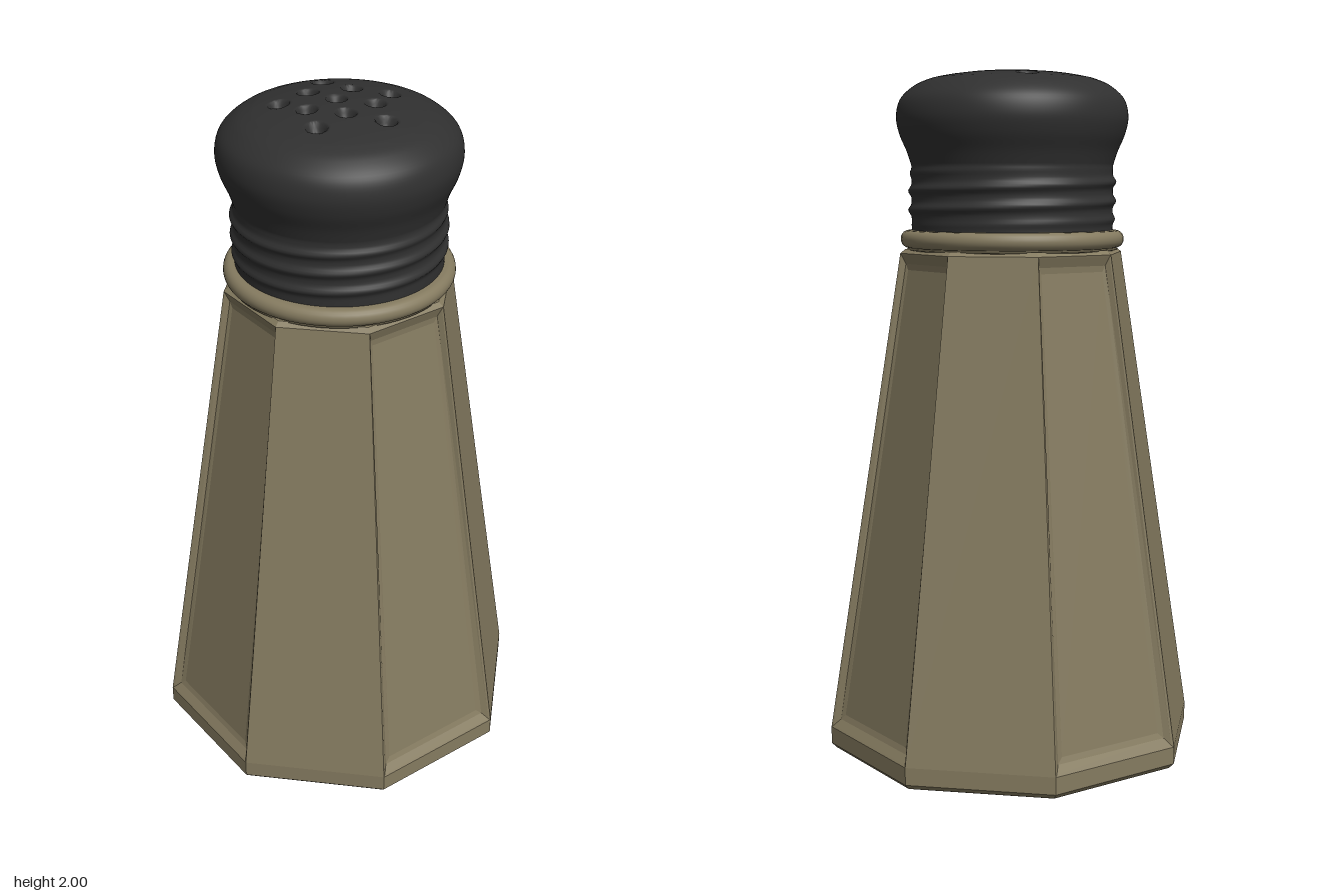
import * as THREE from 'three';

const BODY = new THREE.MeshStandardMaterial({ color: 0x857b60 });
const FLAT = new THREE.MeshStandardMaterial({ color: 0x857b60, flatShading: true });
const CAP = new THREE.MeshStandardMaterial({ color: 0x303030 });

const pts = (list) => list.map(([r, y]) => new THREE.Vector2(r, y));

function add(group, name, geometry, material) {
  const mesh = new THREE.Mesh(geometry, material);
  mesh.name = name;
  group.add(mesh);
}

// Apply a rule to every vertex, then refresh normals, welding the lathe seam
function reshape(geo, segments, rule) {
  const p = geo.attributes.position, v = new THREE.Vector3();
  for (let i = 0; i < p.count; i++) {
    rule(v.fromBufferAttribute(p, i));
    p.setXYZ(i, v.x, v.y, v.z);
  }
  geo.computeVertexNormals();
  const n = geo.attributes.normal, rows = p.count / (segments + 1);
  for (let j = 0; j < rows; j++) {
    const a = j, b = segments * rows + j;
    v.set(n.getX(a) + n.getX(b), n.getY(a) + n.getY(b), n.getZ(a) + n.getZ(b)).normalize();
    n.setXYZ(a, v.x, v.y, v.z);
    n.setXYZ(b, v.x, v.y, v.z);
  }
  return geo;
}

// Eight tapering sides; every second one holds a sunken panel with bevelled edges
function sidesGeometry() {
  const out = [];
  const quad = (a, b, c, d) => [a, b, c, a, c, d].forEach((v) => out.push(v.x, v.y, v.z));
  const corner = (r, y, k) => new THREE.Vector3(r * Math.sin(k * Math.PI / 4), y, r * Math.cos(k * Math.PI / 4));
  for (let k = 0; k < 8; k++) {
    const A = corner(0.55, 0.08, k), B = corner(0.55, 0.08, k + 1);
    const C = corner(0.33, 1.48, k + 1), D = corner(0.33, 1.48, k);
    if (k % 2) { quad(A, B, C, D); continue; }
    const normal = B.clone().sub(A).cross(D.clone().sub(A)).normalize();
    const at = (u, v) => A.clone().lerp(B, u).lerp(D.clone().lerp(C, u), v);
    const loop = (u, v, depth) => [at(u, v), at(1 - u, v), at(1 - u, 1 - v), at(u, 1 - v)]
      .map((p) => p.addScaledVector(normal, -depth));
    const loops = [[A, B, C, D], loop(0.015, 0.004, 0.003), loop(0.05, 0.02, 0.016), loop(0.09, 0.032, 0.02)];
    for (let s = 0; s < 3; s++) {
      for (let e = 0; e < 4; e++) {
        const f = (e + 1) % 4;
        quad(loops[s][e], loops[s][f], loops[s + 1][f], loops[s + 1][e]);
      }
    }
    quad(...loops[3]);
  }
  const geo = new THREE.BufferGeometry();
  geo.setAttribute('position', new THREE.Float32BufferAttribute(out, 3));
  geo.computeVertexNormals();
  return geo;
}

// Hollow underside: octagonal at the rim, blending to a round ceiling
function hollowGeometry() {
  const profile = pts([[0, 0.1], [0.2, 0.1], [0.31, 0.095], [0.36, 0.085], [0.4, 0.065], [0.43, 0.035], [0.46, 0]]);
  return reshape(new THREE.LatheGeometry(profile, 64), 64, (v) => {
    const q = Math.PI / 4;
    const a = ((Math.atan2(v.x, v.z) % q) + q) % q;
    const oct = Math.cos(q / 2) / Math.cos(a - q / 2);
    const k = THREE.MathUtils.lerp(oct, 0.96, THREE.MathUtils.clamp(v.y / 0.09, 0, 1));
    v.x *= k;
    v.z *= k;
  });
}

// Shaker cap: threaded neck, bulging head and dented pour holes
function capGeometry() {
  const holes = [[0, -0.19], [0, -0.03], [0, 0.07]];
  for (const s of [-1, 1]) holes.push([s * 0.061, -0.105], [s * 0.153, -0.052], [s * 0.093, 0.02], [s * 0.093, 0.13]);

  const list = [];
  for (let i = 0; i <= 30; i++) list.push([0.292, 1.54 + i * 0.19 / 30]);
  const head = new THREE.SplineCurve(pts([[0.292, 1.73], [0.305, 1.77], [0.326, 1.82], [0.335, 1.87],
    [0.322, 1.92], [0.28, 1.958], [0.235, 1.977]]));
  head.getPoints(32).slice(1).forEach((p) => list.push([p.x, p.y]));
  for (let i = 1; i <= 46; i++) {
    const r = 0.235 * (1 - i / 46);
    list.push([r, 2 - 0.023 * Math.pow(r / 0.235, 2.4)]);
  }
  const segments = 160;
  return reshape(new THREE.LatheGeometry(pts(list), segments), segments, (v) => {
    if (v.y < 1.74) {
      // Helical ridge, fading at both ends of the neck
      const turn = Math.atan2(v.x, v.z) / (2 * Math.PI);
      const fade = THREE.MathUtils.smoothstep(v.y, 1.55, 1.59) * (1 - THREE.MathUtils.smoothstep(v.y, 1.69, 1.73));
      const k = 1 + 0.035 * fade * Math.pow(0.5 + 0.5 * Math.cos(2 * Math.PI * ((v.y - 1.59) / 0.055 - turn)), 2);
      v.x *= k;
      v.z *= k;
    } else if (v.y > 1.95) {
      for (const [x, z] of holes) {
        const d = Math.hypot(v.x - x, v.z - z);
        v.y -= 0.028 * (1 - THREE.MathUtils.smoothstep(d, 0.016, 0.031));
      }
    }
  });
}

export function createModel() {
  const model = new THREE.Group();
  model.name = 'saltShaker';

  const body = new THREE.Group();
  body.name = 'body';
  model.add(body);
  add(body, 'sides', sidesGeometry(), FLAT);
  add(body, 'foot', new THREE.LatheGeometry(pts([[0.46, 0], [0.495, 0], [0.535, 0.015], [0.55, 0.03], [0.55, 0.08]]), 8), FLAT);
  add(body, 'hollow', hollowGeometry(), BODY);
  add(body, 'shoulder', new THREE.LatheGeometry(pts([[0.33, 1.48], [0.315, 1.492], [0.25, 1.495]]), 8), FLAT);

  // Rounded collar under the cap
  const collar = [[0.29, 1.485], [0.308, 1.49]];
  for (let i = 0; i <= 10; i++) {
    const a = -Math.PI / 2 + Math.PI * i / 10;
    collar.push([0.302 + 0.023 * Math.cos(a), 1.52 + 0.025 * Math.sin(a)]);
  }
  collar.push([0.26, 1.547]);
  add(body, 'collar', new THREE.LatheGeometry(pts(collar), 64), BODY);

  add(model, 'cap', capGeometry(), CAP);
  return model;
}
